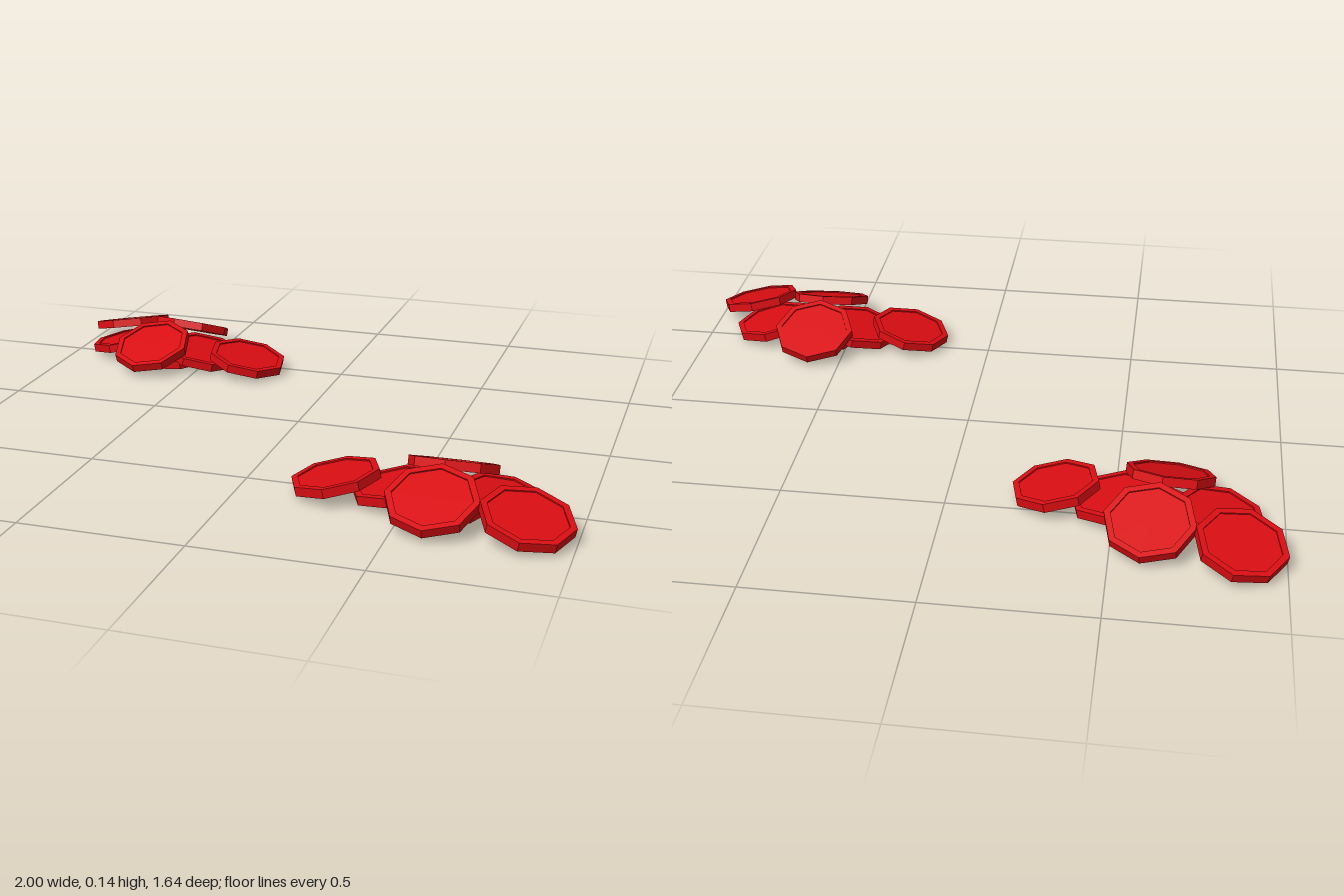
import * as THREE from 'three';

const R = 0.135, H = 0.014, RIM = 0.115, DEPTH = 0.004;

// Each disc: x, y, z relative to its pile's centre, then tilt about x and z in degrees
const DISCS = [
  [0, H, 0, 0, 0],
  [-0.318, 0.049, -0.002, 0, 12],
  [-0.135, 0.045, -0.002, 0, 12],
  [0, 0.08, -0.122, -21, 0],
  [0.175, 0.045, 0, 0, -12],
  [0, 0.08, 0.15, 21, 0],
  [0.262, 0.06, 0.15, 11, -11.5],
];

// Octagonal disc with a thin raised rim around its top face
function discGeometry() {
  const profile = [
    [0, -H], [R, -H], [R, H], [RIM, H], [RIM, H - DEPTH], [0, H - DEPTH],
  ].map(([x, y]) => new THREE.Vector2(x, y));
  return new THREE.LatheGeometry(profile, 8);
}

export function createModel() {
  const model = new THREE.Group();
  model.name = 'discPiles';
  const material = new THREE.MeshStandardMaterial({ color: 0xd90d12, flatShading: true });
  const geometry = discGeometry();
  const rad = THREE.MathUtils.degToRad;

  function addPile(name, x, z, turn) {
    const pile = new THREE.Group();
    pile.name = name;
    DISCS.forEach(([dx, dy, dz, tiltX, tiltZ], i) => {
      const disc = new THREE.Mesh(geometry, material);
      disc.name = i === 0 ? 'baseDisc' : 'leaningDisc' + i;
      disc.position.set(dx, dy, dz);
      disc.rotation.set(rad(tiltX), 0, rad(tiltZ));
      pile.add(disc);
    });
    pile.position.set(x, 0, z);
    pile.rotation.y = rad(turn);
    model.add(pile);
  }

  // The same pile twice, the back one turned around
  addPile('frontPile', 0.6, 0.53, 0);
  addPile('backPile', -0.638, -0.492, 169.5);
  return model;
}
